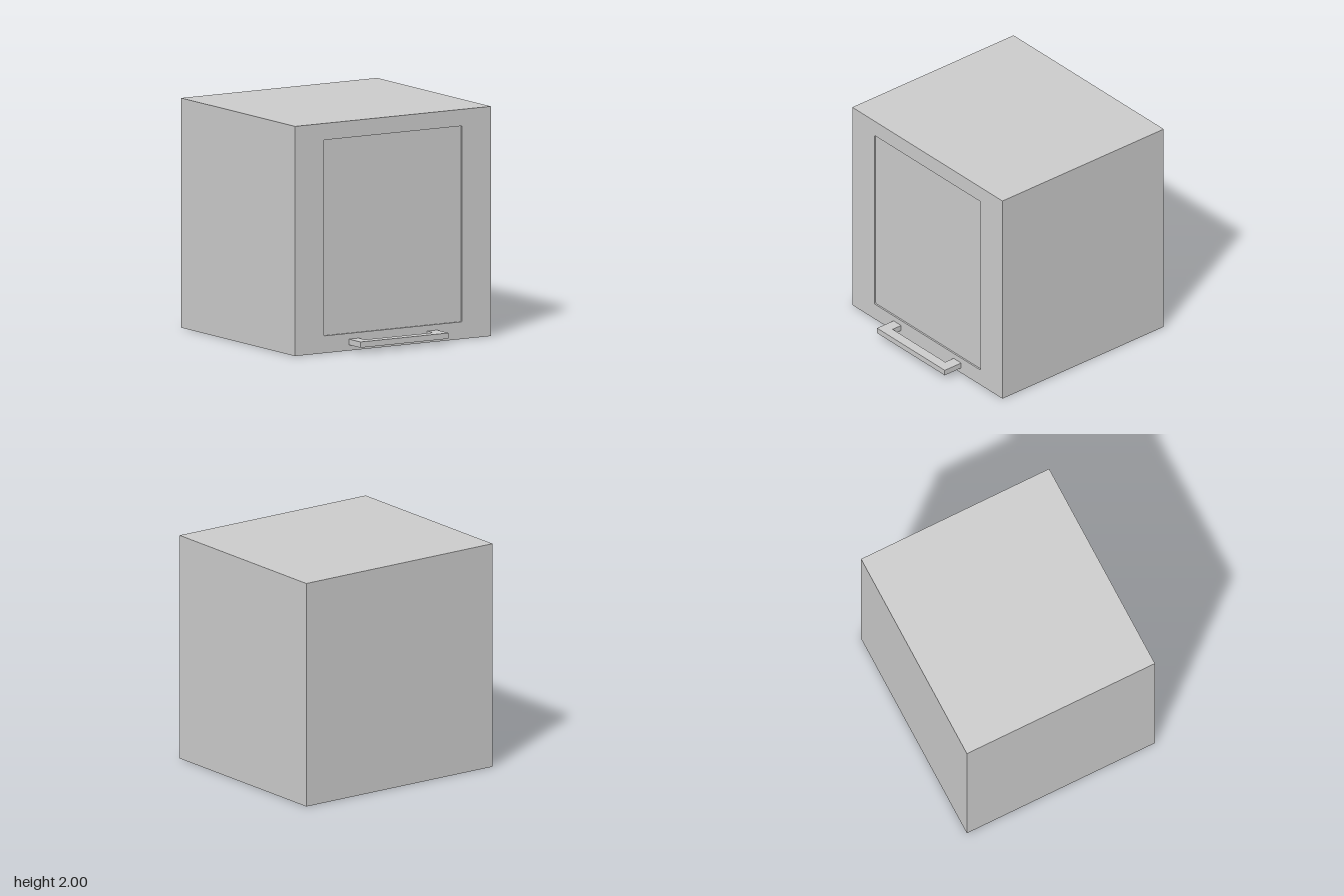
import * as THREE from 'three';

const FRONT = 0.815, BACK = -1, RECESS = 0.015;

function roundedRect(target, x0, y0, x1, y1, r) {
  target.moveTo(x0 + r, y0);
  target.lineTo(x1 - r, y0);
  target.quadraticCurveTo(x1, y0, x1, y0 + r);
  target.lineTo(x1, y1 - r);
  target.quadraticCurveTo(x1, y1, x1 - r, y1);
  target.lineTo(x0 + r, y1);
  target.quadraticCurveTo(x0, y1, x0, y1 - r);
  target.lineTo(x0, y0 + r);
  target.quadraticCurveTo(x0, y0, x0 + r, y0);
  return target;
}

export function createModel() {
  const model = new THREE.Group();
  model.name = 'cabinet';
  const material = new THREE.MeshStandardMaterial({ color: 0xcccccc });
  const add = (name, geometry) => {
    const mesh = new THREE.Mesh(geometry, material);
    mesh.name = name;
    model.add(mesh);
    return mesh;
  };

  // Body, its front face forming the floor of the recessed panel
  const depth = FRONT - RECESS - BACK;
  add('body', new THREE.BoxGeometry(2, 2, depth)).position.set(0, 1, BACK + depth / 2);

  // Front frame around the shallow recess
  const frame = new THREE.Shape([[-1, 0], [1, 0], [1, 2], [-1, 2]].map(p => new THREE.Vector2(...p)));
  frame.holes.push(roundedRect(new THREE.Path(), -0.705, 0.15, 0.705, 1.855, 0.01));
  add('frontFrame', new THREE.ExtrudeGeometry(frame, { depth: RECESS, bevelEnabled: false, curveSegments: 4 }))
    .position.z = FRONT - RECESS;

  // U-shaped pull handle, drawn in plan and extruded upwards
  const plan = [[-0.45, FRONT], [-0.35, FRONT], [-0.35, 0.91], [0.35, 0.91],
    [0.35, FRONT], [0.45, FRONT], [0.45, 1], [-0.45, 1]];
  const handleShape = new THREE.Shape(plan.map(([x, z]) => new THREE.Vector2(x, -z)));
  const handle = add('handle', new THREE.ExtrudeGeometry(handleShape, { depth: 0.05, bevelEnabled: false }));
  handle.rotation.x = -Math.PI / 2;
  handle.position.y = 0.05;

  return model;
}
